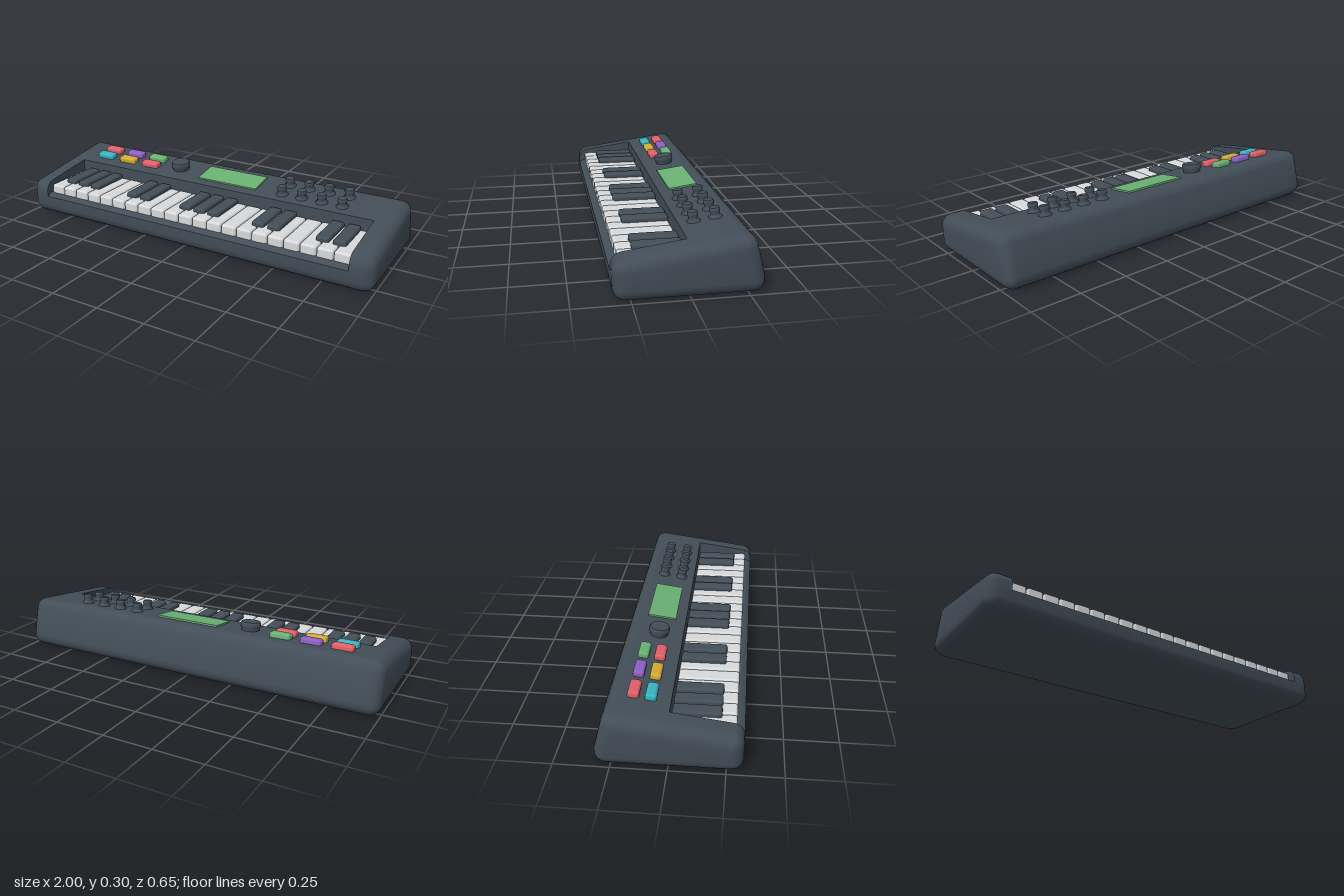
import * as THREE from 'three';
import { toCreasedNormals } from 'three/addons/utils/BufferGeometryUtils.js';
import { RoundedBoxGeometry } from 'three/addons/geometries/RoundedBoxGeometry.js';

const material = (name, color) => {
  const m = new THREE.MeshStandardMaterial({ color });
  m.name = name;
  return m;
};

// Side profile (z, y): four core corners rounded by radius r, with a doubled point where the key well starts
const CORNERS = [[0.27, 0.055, -90, 0], [0.27, 0.133, 0, 82], [-0.233, 0.2025, 82, 166.4], [-0.27, 0.055, 166.4, 270]];
const SEGMENTS = 4;
function profile(r, cut) {
  const points = [];
  CORNERS.forEach(([z, y, from, to], corner) => {
    for (let k = 0; k <= SEGMENTS; k++) {
      const a = THREE.MathUtils.degToRad(from + (to - from) * k / SEGMENTS);
      points.push([z + r * Math.cos(a), y + r * Math.sin(a)]);
    }
    if (corner === 1) {
      const [z0, y0] = points[points.length - 1];
      const wellY = y0 + z0 * 0.139;
      points.push([0, wellY], [0, wellY]);
    }
  });
  // Lower the front top to form the floor of the key well
  if (cut) for (let i = SEGMENTS + 1; i <= 2 * SEGMENTS + 2; i++) {
    const p = points[i];
    p[1] = Math.min(p[1], 0.12 - Math.max(0, p[0] - 0.3) * 0.6);
  }
  return points;
}

// Case: profiles lofted along x, with rounded ends and a well between the cheeks
function caseGeometry() {
  const R = 0.055, WELL = 0.886, STEPS = 5;
  const rings = [];
  const ring = (x, r, cut) => rings.push(profile(r, cut).map(([z, y]) => new THREE.Vector3(x, y, z)));
  const end = (k) => [1 - R + R * Math.cos(k / STEPS * Math.PI / 2), R * Math.sin(k / STEPS * Math.PI / 2)];
  for (let k = 0; k <= STEPS; k++) ring(-end(k)[0], end(k)[1], false);
  ring(-WELL, R, false);
  ring(-WELL, R, true);
  ring(WELL, R, true);
  ring(WELL, R, false);
  for (let k = STEPS; k >= 0; k--) ring(end(k)[0], end(k)[1], false);

  const positions = [];
  const triangle = (a, b, c) => {
    if (new THREE.Triangle(a, b, c).getArea() < 1e-8) return;
    for (const v of [a, b, c]) positions.push(v.x, v.y, v.z);
  };
  const n = rings[0].length;
  for (let j = 0; j < rings.length - 1; j++) {
    for (let i = 0; i < n; i++) {
      const a = rings[j][i], b = rings[j][(i + 1) % n];
      const c = rings[j + 1][i], d = rings[j + 1][(i + 1) % n];
      triangle(a, c, d);
      triangle(a, d, b);
    }
  }
  const first = rings[0], last = rings[rings.length - 1];
  for (let i = 1; i < n - 1; i++) {
    triangle(first[0], first[i], first[i + 1]);
    triangle(last[0], last[i + 1], last[i]);
  }
  const geometry = new THREE.BufferGeometry();
  geometry.setAttribute('position', new THREE.Float32BufferAttribute(positions, 3));
  return toCreasedNormals(geometry, 0.7);
}

const lathe = (points, sides) => toCreasedNormals(
  new THREE.LatheGeometry(points.map(([x, y]) => new THREE.Vector2(x, y)), sides), 0.7);

export function createModel() {
  const slate = material('slate', 0x434e58);
  const ivory = material('ivory', 0xd8dadb);
  const green = material('green', 0x6ab174);
  const red = material('red', 0xe0606a);
  const cyan = material('cyan', 0x38b4c3);
  const purple = material('purple', 0x8c60c5);
  const yellow = material('yellow', 0xd2ac32);

  const model = new THREE.Group();
  model.name = 'keyboard';
  const add = (parent, name, geometry, mat, x, y, z) => {
    const mesh = new THREE.Mesh(geometry, mat);
    mesh.name = name;
    mesh.position.set(x, y, z);
    parent.add(mesh);
    return mesh;
  };

  add(model, 'case', caseGeometry(), slate, 0, 0, 0);

  // White keys
  const PITCH = 0.084, COUNT = 21, LEFT = -PITCH * COUNT / 2;
  const whiteKey = new RoundedBoxGeometry(0.081, 0.06, 0.288, 3, 0.012);
  for (let i = 0; i < COUNT; i++) {
    add(model, 'whiteKey', whiteKey, ivory, LEFT + PITCH * (i + 0.5), 0.137, 0.146);
  }

  // Black keys sit over the joints between white keys
  const blackKey = new RoundedBoxGeometry(0.066, 0.05, 0.22, 3, 0.012);
  for (const i of [1, 2, 3, 6, 7, 10, 11, 12, 15, 16, 19, 20]) {
    add(model, 'blackKey', blackKey, slate, LEFT + PITCH * i, 0.165, 0.113);
  }

  // Control panel, tilted with the top of the case
  const panel = new THREE.Group();
  panel.name = 'controlPanel';
  panel.position.set(0, 0.2265, 0);
  panel.rotation.x = 0.139;
  model.add(panel);

  add(panel, 'display', new THREE.BoxGeometry(0.35, 0.009, 0.145), green, 0.052, 0.003, -0.125);

  // Coloured pads
  const pad = new RoundedBoxGeometry(0.108, 0.045, 0.052, 3, 0.013);
  [[red, purple, green], [cyan, yellow, red]].forEach((row, r) => row.forEach((mat, c) => {
    add(panel, 'pad', pad, mat, -0.775 + c * 0.157, 0.004, r ? -0.09 : -0.168);
  }));

  // Main dial
  const dial = lathe([[0.045, -0.01], [0.045, 0.008], [0.051, 0.016], [0.051, 0.036], [0.046, 0.043], [0, 0.043]], 32);
  add(panel, 'dial', dial, slate, -0.277, 0, -0.122);

  // Small knobs with flared bases
  const knob = lathe([[0.033, -0.004], [0.031, 0.003], [0.023, 0.01], [0.021, 0.02], [0.025, 0.03],
    [0.025, 0.04], [0.021, 0.046], [0, 0.046]], 20);
  for (const z of [-0.17, -0.07]) {
    for (let i = 0; i < 4; i++) add(panel, 'knob', knob, slate, 0.375 + i * 0.109, 0, z);
  }
  return model;
}
